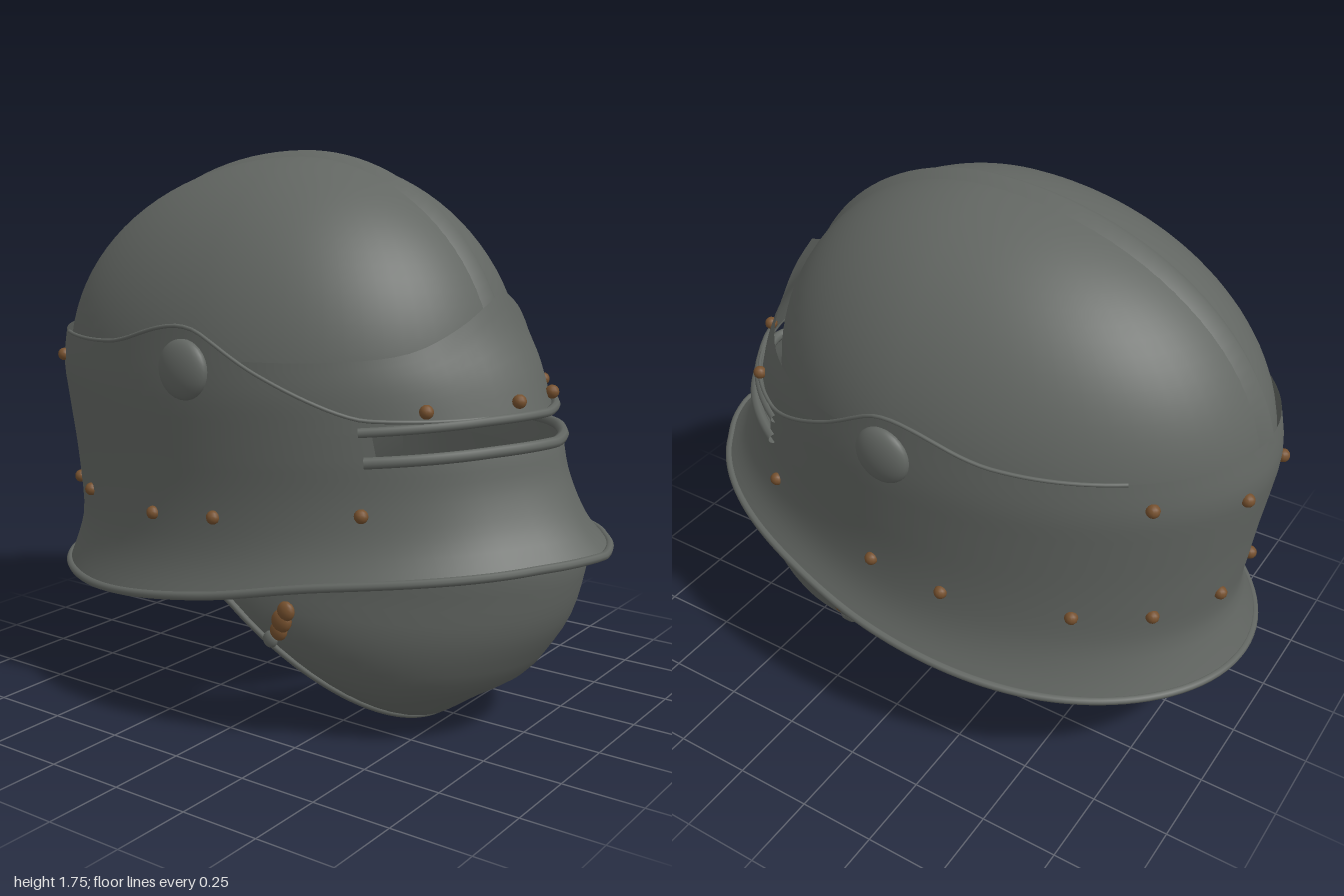
import * as THREE from 'three';

const steel = new THREE.MeshStandardMaterial({ color: 0x626662, side: THREE.DoubleSide });
steel.name = 'dark steel';
const bronze = new THREE.MeshStandardMaterial({ color: 0x75502e });
bronze.name = 'aged bronze';

const Z0 = -0.07; // centre of the plan ellipses
const V = (x, y, z) => new THREE.Vector3(x, y, z);

// smooth interpolation through [position, value] pairs
function curve(t, pts) {
  const n = pts.length - 1;
  if (t <= pts[0][0]) return pts[0][1];
  if (t >= pts[n][0]) return pts[n][1];
  let i = 0;
  while (t > pts[i + 1][0]) i++;
  const slope = (k) => {
    const a = pts[Math.max(0, k - 1)], b = pts[Math.min(n, k + 1)];
    return (b[1] - a[1]) / (b[0] - a[0]);
  };
  const h = pts[i + 1][0] - pts[i][0], s = (t - pts[i][0]) / h, s2 = s * s, s3 = s2 * s;
  return (2 * s3 - 3 * s2 + 1) * pts[i][1] + (s3 - 2 * s2 + s) * h * slope(i)
    + (3 * s2 - 2 * s3) * pts[i + 1][1] + (s3 - s2) * h * slope(i + 1);
}

// surface of rows and columns; fn(column, row) gives a point
function grid(cols, rows, fn, closed = false, skip = () => false) {
  const pos = [], idx = [], w = closed ? cols : cols + 1;
  for (let r = 0; r <= rows; r++)
    for (let c = 0; c < w; c++) pos.push(...fn(c, r).toArray());
  for (let r = 0; r < rows; r++)
    for (let c = 0; c < cols; c++) {
      if (skip(c, r)) continue;
      const d = (c + 1) % w, a = r * w + c, b = r * w + d;
      idx.push(a, b, b + w, a, b + w, a + w);
    }
  const g = new THREE.BufferGeometry();
  g.setAttribute('position', new THREE.Float32BufferAttribute(pos, 3));
  g.setIndex(idx);
  g.computeVertexNormals();
  return g;
}

// front, side and back radii; u = 0 at the rim, 1 at the slot, then 1 + height
const FRONT = [[0, 1.06], [.15, 1.01], [.35, .965], [.65, .92], [1, .89], [1.08, .865], [1.2, .82], [1.3, .765], [1.42, .72]];
const SIDE = [[0, .635], [.15, .605], [.35, .585], [.65, .58], [1, .59], [1.08, .597], [1.2, .607], [1.4, .602]];
const BACK = [[0, .92], [.15, .893], [.35, .865], [.65, .88], [1, .905], [1.08, .918], [1.2, .932], [1.32, .91]];
const RIM = [[-1, .36], [-.5, .385], [0, .46], [.4, .54], [1, .605]];
const slotY = (a) => .855 + .07 * Math.max(0, Math.cos(a));
const uAt = (a, y) => 1 + y - slotY(a);

function shell(a, u, off = 0) {
  const c = Math.cos(a), keel = .035 * Math.min(1, Math.abs(a) / .35);
  const z = c > 0 ? (curve(u, FRONT) + off) * c * (1 - keel) : (curve(u, BACK) + off) * c;
  const rim = curve(Z0 + (c > 0 ? 1.06 : .93) * c, RIM);
  const y = u < 1 ? rim + (slotY(a) - rim) * u : slotY(a) + u - 1;
  return V((curve(u, SIDE) + off) * Math.sin(a), y, z + Z0);
}

export function createModel() {
  const model = new THREE.Group();
  const add = (name, geo, mat = steel) => {
    const m = new THREE.Mesh(geo, mat);
    m.name = name;
    model.add(m);
    return m;
  };
  const roll = (name, pts, r, closed) =>
    add(name, new THREE.TubeGeometry(new THREE.CatmullRomCurve3(pts, closed), pts.length * 2, r, 8, closed));

  // skull dome
  add('skull', grid(72, 24, (c, r) => {
    const a = c / 72 * Math.PI * 2, t = r / 24 * Math.PI / 2, k = Math.cos(t), n = Math.cos(a);
    return V(.585 * k * Math.sin(a), 1.05 + .68 * Math.sin(t), Z0 + (n > 0 ? .72 : .91) * k * n);
  }, true));

  // low ridge along the middle of the skull
  add('combRidge', grid(48, 2, (c, r) => {
    const t = .3 + c / 48 * (Math.PI - .45), k = r === 1 ? 1.027 : .985;
    const n = Math.cos(t);
    return V((r - 1) * .06, 1.05 + .68 * k * Math.sin(t), Z0 + (n > 0 ? .72 : .91) * k * n);
  }));

  // visor and neck guard in one flared band, open at the eye slot
  const N = 96, low = 12, high = 6;
  const angle = (c) => (c / N * 2 - 1) * Math.PI;
  const TOP = [[0, 1.01], [.85, 1.01], [1.0, 1.04], [1.25, 1.13], [1.48, 1.23], [1.57, 1.25], [1.68, 1.24], [1.93, 1.18], [2.4, 1.165], [3.15, 1.17]];
  const topU = (a) => uAt(a, curve(Math.abs(a), TOP));
  const slotTop = 1.07;
  add('visorAndNeckGuard', grid(N, low + 1 + high, (c, r) => {
    const a = angle(c);
    if (r <= low) return shell(a, r / low);
    const s = (r - low - 1) / high;
    return shell(a, slotTop + (Math.max(topU(a), slotTop + .01) - slotTop) * s);
  }, true, (c, r) => r === low && Math.abs(angle(c + .5)) < .85));

  // brow plate with a pointed centre
  const BROW = [[0, 1.35], [.16, 1.305], [.34, 1.25], [.62, 1.19], [.95, 1.168], [1.35, 1.16]];
  add('browPlate', grid(40, 8, (c, r) => {
    const a = (c / 20 - 1) * 1.35, u0 = slotTop, u1 = uAt(a, curve(Math.abs(a), BROW));
    return shell(a, u0 + (u1 - u0) * r / 8, -.012);
  }));

  // rolled edges
  const arc = (n, half, fn) => Array.from({ length: n + 1 }, (_, i) => fn((i / n * 2 - 1) * half));
  roll('rolledRim', arc(72, Math.PI, (a) => shell(a, 0)).slice(0, -1), .013, true);
  roll('slotLowerLip', arc(24, .9, (a) => shell(a, .98, .003)), .017, false);
  roll('slotUpperLip', arc(24, .9, (a) => shell(a, slotTop + .008)), .014, false);
  roll('visorTopEdge', arc(60, 2.4, (a) => shell(a, Math.max(topU(a), slotTop + .01))), .006, false);

  // chin guard, cut by a slanted plane at the back
  const CHIN = [[0, .46], [.03, .51], [.1, .61], [.18, .73], [.27, .8], [.37, .86], [.5, .9], [.6, .91], [.8, .82]];
  const edge = (t) => { // t = 0 at the bottom, 1 at the top
    const y = t < .7 ? .012 + .488 * (1 - Math.cos(t / .7 * Math.PI / 2)) : .5 + (t - .7);
    return V(.525 * Math.sin(Math.min(1, t / .7) * Math.PI / 2), y, .46 - Math.min(y - .012, .46) * 1.08);
  };
  add('chinGuard', grid(40, 24, (c, r) => {
    const p = edge(r / 24), f = (c / 20 - 1) * Math.PI / 2;
    const reach = Math.max(0, curve(p.y, CHIN) - p.z);
    return V(p.x * Math.sin(f), p.y, p.z + reach * Math.cos(f));
  }));
  roll('chinGuardEdge', arc(40, 1, (s) => {
    const p = edge(Math.abs(s) * .82);
    return V(p.x * Math.sign(s), p.y, p.z);
  }), .012, false);

  // rivets as [angle, height]
  const ball = new THREE.SphereGeometry(.021, 12, 8);
  const RIVETS = [[.17, 1.045], [.62, 1.035], [.94, .74], [1.48, .69], [1.76, .665], [2.24, .66],
    [2.57, .65], [2.95, .65], [2.48, 1.08], [2.93, 1.03]];
  for (const s of [1, -1]) {
    for (const [a, y] of RIVETS) {
      let lo = 0, hi = 1.4; // find the band height that meets y
      for (let i = 0; i < 20; i++) {
        const mid = (lo + hi) / 2;
        if (shell(a, mid).y < y) lo = mid; else hi = mid;
      }
      add('rivet', ball, bronze).position.copy(shell(s * a, lo, .003));
    }

    // visor pivot
    const pivot = add('visorPivot', new THREE.SphereGeometry(.09, 24, 16));
    pivot.scale.set(.42, 1, 1);
    pivot.position.set(s * .607, 1.125, -.07);

    // chin guard latch
    const latch = [[.43, .235, .03], [.395, .215, .035], [.36, .2, .03], [.325, .165, .026]];
    latch.forEach(([y, z, r], i) => {
      const m = add('chinLatch', new THREE.SphereGeometry(r, 12, 8), i === 3 ? steel : bronze);
      m.scale.set(.6, 1, 1);
      m.position.set(s * (.522 - i * .005), y, z);
    });
  }
  return model;
}
